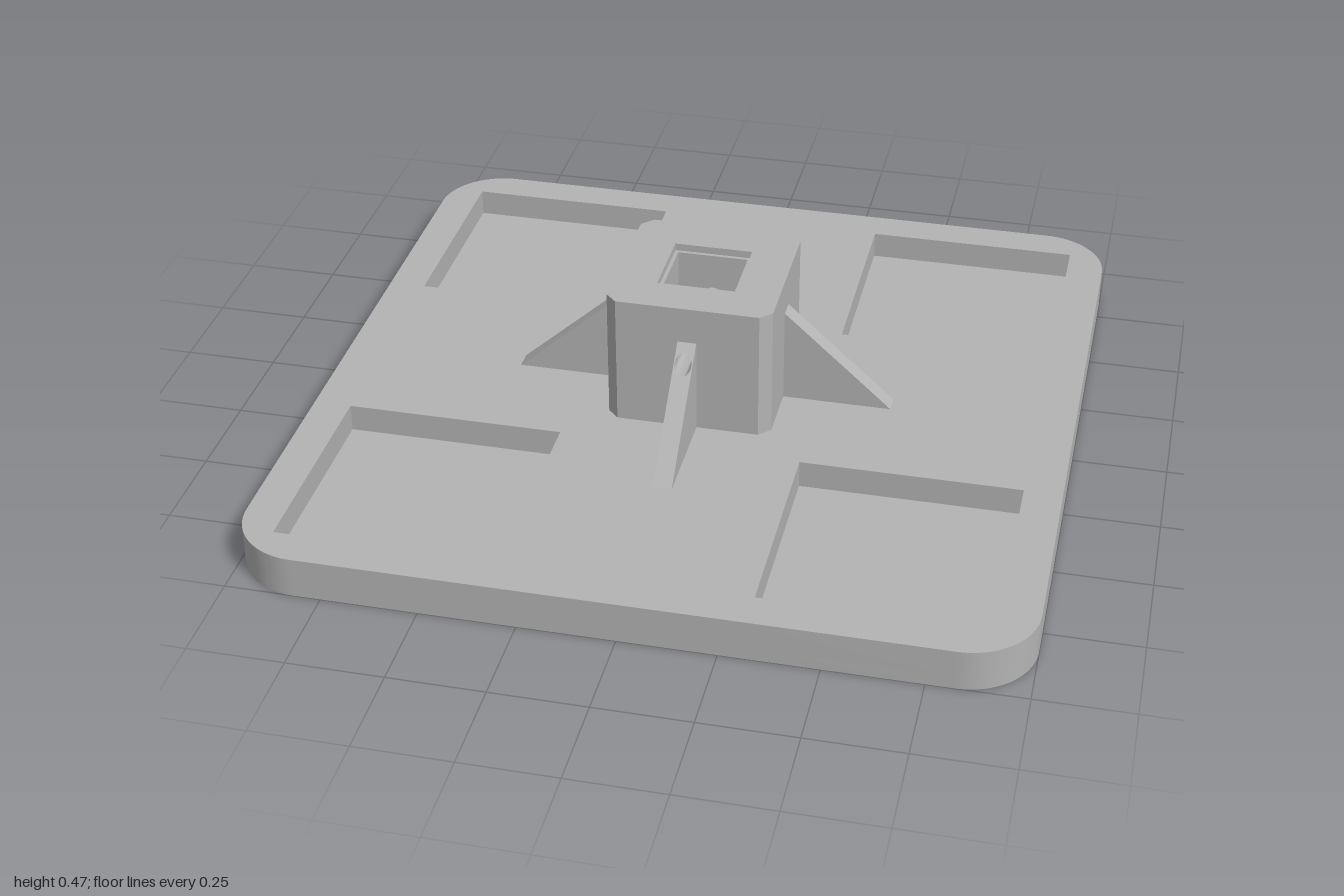
import * as THREE from 'three';
import { toCreasedNormals } from 'three/addons/utils/BufferGeometryUtils.js';

const PLATE = 0.11, FLOOR = 0.035, TOP = 0.47, LIP = 0.45;
const OUT = 0.22, CUT = 0.19, BORE = 0.095, HOLE_Y = 0.33, HOLE_R = 0.022;

const polygon = (pts) => new THREE.Shape(pts.map(([x, y]) => new THREE.Vector2(x, y)));
const rect = (x0, y0, x1, y1) => polygon([[x0, y0], [x1, y0], [x1, y1], [x0, y1]]);

function roundedSquare(h, r) {
  const s = new THREE.Shape();
  s.absarc(h - r, h - r, r, 0, Math.PI / 2);
  s.absarc(r - h, h - r, r, Math.PI / 2, Math.PI);
  s.absarc(r - h, r - h, r, Math.PI, Math.PI * 1.5);
  s.absarc(h - r, r - h, r, Math.PI * 1.5, Math.PI * 2);
  s.closePath();
  return s;
}

function pinHole() {
  const p = new THREE.Path();
  p.absarc(0, HOLE_Y, HOLE_R, 0, Math.PI * 2, true);
  return p;
}

const extrude = (shape, depth) =>
  new THREE.ExtrudeGeometry(shape, { depth, bevelEnabled: false, curveSegments: 16 });

// Extrude a plan outline upward from y0 to y1
const slab = (shape, y0, y1) =>
  toCreasedNormals(extrude(shape, y1 - y0).rotateX(-Math.PI / 2).translate(0, y0, 0), 0.6);

// Triangular rib: upright profile whose outer face is sheared to a slope
function ribGeometry(withHole) {
  const shape = rect(-0.025, PLATE, 0.025, 0.37);
  if (withHole) shape.holes.push(pinHole());
  const geo = extrude(shape, 1);
  const p = geo.attributes.position;
  for (let i = 0; i < p.count; i++) {
    const reach = 0.001 + (0.37 - p.getY(i)) * (0.29 / 0.26);
    p.setZ(i, OUT + p.getZ(i) * reach);
  }
  geo.computeVertexNormals();
  return toCreasedNormals(geo, 0.6);
}

export function createModel() {
  const model = new THREE.Group();
  const grey = new THREE.MeshStandardMaterial({ color: 0xb4b4b4 });
  grey.name = 'grey';
  const add = (name, geo, parent = model) => {
    const mesh = new THREE.Mesh(geo, grey);
    mesh.name = name;
    parent.add(mesh);
    return mesh;
  };

  // Base plate: solid bottom and an upper layer with four square pockets
  add('plateBottom', slab(roundedSquare(1, 0.18), 0, FLOOR));
  const upper = roundedSquare(1, 0.18);
  for (const x of [-0.9, 0.32])
    for (const y of [-0.9, 0.32]) upper.holes.push(rect(x, y, x + 0.58, y + 0.58));
  add('plateTop', slab(upper, FLOOR, PLATE));

  // Square socket: chamfered side walls, drilled front and back walls
  const socket = new THREE.Group();
  socket.name = 'socket';
  model.add(socket);
  const side = polygon([[BORE, -OUT], [CUT, -OUT], [OUT, -CUT], [OUT, CUT], [CUT, OUT], [BORE, OUT]]);
  const wall = rect(-BORE, PLATE, BORE, LIP);
  wall.holes.push(pinHole());
  for (const turn of [0, Math.PI]) {
    add('socketSideWall', slab(side, PLATE, LIP), socket).rotation.y = turn;
    const panel = toCreasedNormals(extrude(wall, OUT - BORE).translate(0, 0, BORE), 0.6);
    add('socketDrilledWall', panel, socket).rotation.y = turn;
  }

  // Rim with a slightly wider opening
  const rim = polygon([[CUT, -OUT], [OUT, -CUT], [OUT, CUT], [CUT, OUT],
    [-CUT, OUT], [-OUT, CUT], [-OUT, -CUT], [-CUT, -OUT]]);
  rim.holes.push(rect(-0.105, -0.105, 0.105, 0.105));
  add('socketRim', slab(rim, LIP, TOP), socket);

  // Four ribs; the pin hole passes through the front and back ones
  for (let i = 0; i < 4; i++)
    add('rib', ribGeometry(i % 2 === 0)).rotation.y = i * Math.PI / 2;

  return model;
}
